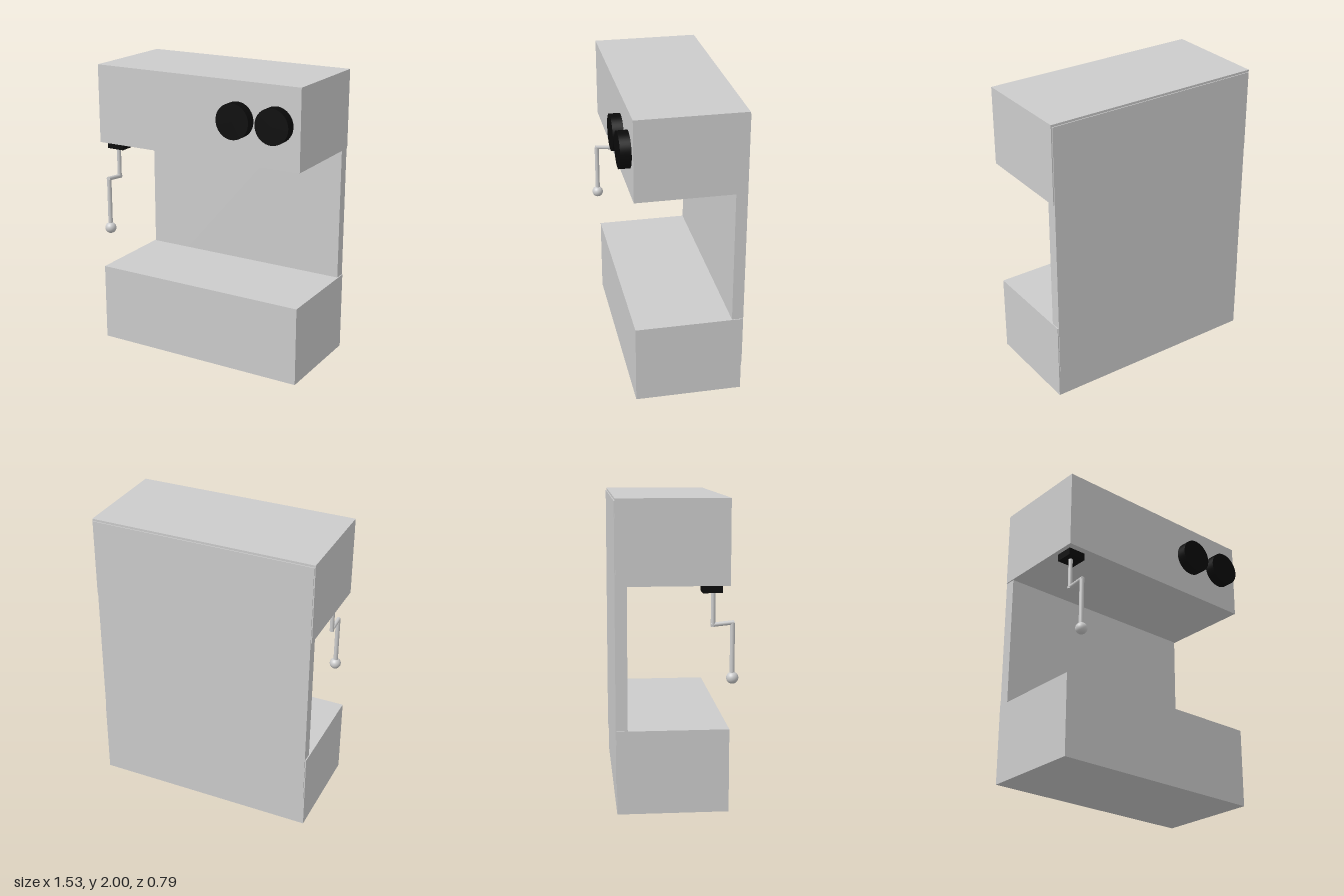
import * as THREE from 'three';

export function createModel() {
  const group = new THREE.Group();
  const grey = new THREE.MeshStandardMaterial({ color: 0xcccccc });
  const black = new THREE.MeshStandardMaterial({ color: 0x0a0a0a });

  function add(name, geometry, material, x, y, z) {
    const mesh = new THREE.Mesh(geometry, material);
    mesh.name = name;
    mesh.position.set(x, y, z);
    group.add(mesh);
    return mesh;
  }

  // Round rod running between two points
  function rod(name, a, b, radius) {
    const dir = b.clone().sub(a);
    const mid = a.clone().add(b).multiplyScalar(0.5);
    const mesh = add(name, new THREE.CylinderGeometry(radius, radius, dir.length(), 24), grey, mid.x, mid.y, mid.z);
    mesh.quaternion.setFromUnitVectors(new THREE.Vector3(0, 1, 0), dir.normalize());
  }

  // Body: base, overhanging head and the back panel joining them
  add('base', new THREE.BoxGeometry(1.532, 0.544, 0.714), grey, 0, 0.272, -0.032);
  add('head', new THREE.BoxGeometry(1.532, 0.54, 0.714), grey, 0, 1.73, -0.032);
  add('backPanel', new THREE.BoxGeometry(1.518, 1.785, 0.076), grey, 0, 1.0925, -0.357);

  // Pair of gauges on the front of the head
  for (const x of [0.317, 0.598]) {
    const gauge = add('gauge', new THREE.CylinderGeometry(0.118, 0.118, 0.07, 48), black, x, 1.748, 0.36);
    gauge.rotation.x = Math.PI / 2;
  }

  // Steam wand hanging under the head
  const x = -0.684;
  add('wandMount', new THREE.BoxGeometry(0.125, 0.05, 0.125), black, -0.673, 1.436, 0.218);
  const points = [[1.43, 0.226], [1.205, 0.226], [1.215, 0.35], [0.87, 0.35]]
    .map(([y, z]) => new THREE.Vector3(x, y, z));
  rod('wandUpperRod', points[0], new THREE.Vector3(x, 1.192, 0.226), 0.0145);
  rod('wandCrossRod', new THREE.Vector3(x, 1.203, 0.214), new THREE.Vector3(x, 1.217, 0.36), 0.014);
  rod('wandLowerRod', points[2], points[3], 0.0155);
  add('wandTip', new THREE.SphereGeometry(0.039, 32, 20), grey, x + 0.002, 0.86, 0.352);

  return group;
}
